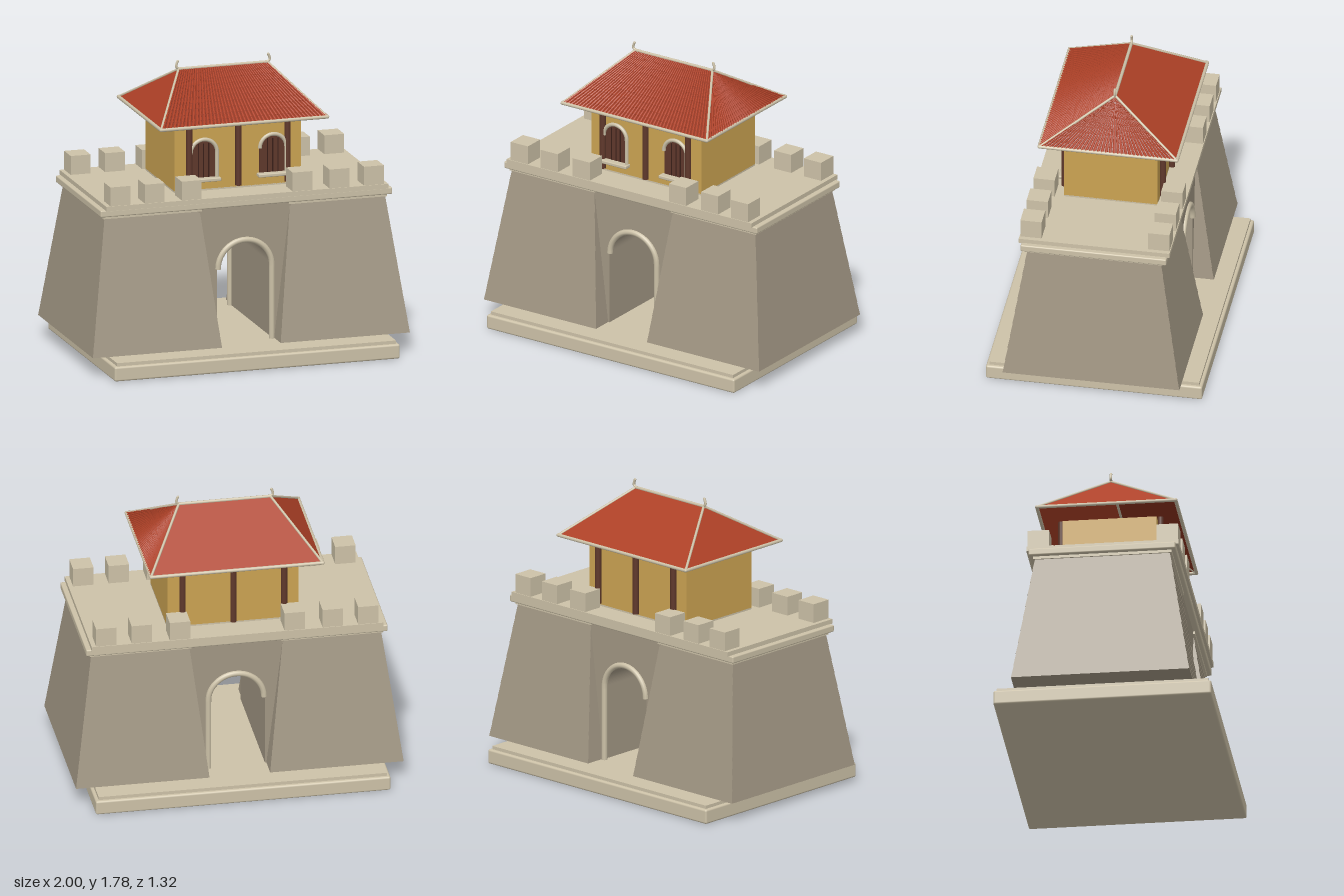
import * as THREE from 'three';
import { RoundedBoxGeometry } from 'three/addons/geometries/RoundedBoxGeometry.js';

const mat = (name, color, side = THREE.FrontSide) => {
  const m = new THREE.MeshStandardMaterial({ color, side });
  m.name = name;
  return m;
};

export function createModel() {
  const stone = mat('pale stone', 0xcdc2a8);
  const wall = mat('grey stone wall', 0xa29784);
  const ochre = mat('ochre plaster', 0xcba352);
  const wood = mat('dark wood', 0x5f382b);
  const gapWood = mat('shutter gap', 0x3d211a);
  const red = mat('red roof', 0xad4026, THREE.DoubleSide);
  const redDark = mat('tile valley', 0x8a311d, THREE.DoubleSide);

  const root = new THREE.Group();
  root.name = 'gatehouse';
  const add = (name, geo, material, x = 0, y = 0, z = 0, parent = root) => {
    const m = new THREE.Mesh(geo, material);
    m.name = name;
    m.position.set(x, y, z);
    parent.add(m);
    return m;
  };
  // box from min and max corners
  const box = (name, material, x0, x1, y0, y1, z0, z1, round = 0) => {
    const s = [x1 - x0, y1 - y0, z1 - z0];
    const geo = round ? new RoundedBoxGeometry(...s, 2, round) : new THREE.BoxGeometry(...s);
    return add(name, geo, material, (x0 + x1) / 2, (y0 + y1) / 2, (z0 + z1) / 2);
  };
  const lerp = THREE.MathUtils.lerp;
  const V = (x, y, z) => new THREE.Vector3(x, y, z);

  // plinth
  box('plinth', stone, -0.9, 0.9, 0, 0.09, -0.66, 0.66, 0.012);
  box('plinthStep', stone, -0.88, 0.88, 0.085, 0.11, -0.64, 0.64);

  // battered towers built from stone courses with a tiny ledge on front and back
  const Y0 = 0.125, Y1 = 0.955, COURSES = 10;
  const towerAt = t => ({ inner: lerp(0.185, 0.285, t), outer: lerp(1, 0.885, t), z: lerp(0.54, 0.41, t) });
  for (const side of [1, -1]) {
    const tower = new THREE.Group();
    tower.name = side > 0 ? 'leftTower' : 'rightTower';
    root.add(tower);
    for (let i = 0; i < COURSES; i++) {
      const geo = new THREE.BoxGeometry(1, 1, 1);
      const p = geo.attributes.position;
      for (let k = 0; k < p.count; k++) {
        const top = p.getY(k) > 0;
        const t = (i + (top ? 1 : 0)) / COURSES;
        const c = towerAt(t);
        const far = p.getX(k) * side > 0;
        p.setXYZ(k, side * (far ? c.outer : c.inner), lerp(Y0, Y1, t),
          Math.sign(p.getZ(k)) * (c.z - (top ? 0.003 : 0)));
      }
      geo.computeVertexNormals();
      add('stoneCourse', geo, wall, 0, 0, 0, tower);
    }
    box('towerCapMoulding', stone, side > 0 ? 0.275 : -0.895, side > 0 ? 0.895 : -0.275, 0.95, 0.968, -0.42, 0.42);
  }

  // recessed gate wall with arched passage
  const R = 0.176, SPRING = 0.58;
  const shape = new THREE.Shape();
  shape.moveTo(0.19, Y0);
  shape.lineTo(0.295, 0.97);
  shape.lineTo(-0.295, 0.97);
  shape.lineTo(-0.19, Y0);
  shape.lineTo(-R, Y0);
  shape.lineTo(-R, SPRING);
  shape.absarc(0, SPRING, R, Math.PI, 0, true);
  shape.lineTo(R, Y0);
  add('gateWall', new THREE.ExtrudeGeometry(shape, { depth: 0.82, bevelEnabled: false, curveSegments: 32 }),
    wall, 0, 0, -0.41);

  // arch moulding: a full leg on +x, ending at the spring line on -x
  const archTrim = (name, cx, spring, foot, r, tube, z) => {
    const path = new THREE.CurvePath();
    path.add(new THREE.LineCurve3(V(r, foot, 0), V(r, spring, 0)));
    const pts = [];
    for (let i = 0; i <= 16; i++) {
      const a = Math.PI * i / 16;
      pts.push(V(r * Math.cos(a), spring + r * Math.sin(a), 0));
    }
    path.add(new THREE.CatmullRomCurve3(pts));
    add(name, new THREE.TubeGeometry(path, 60, tube, 8), stone, cx, 0, z);
    for (const [x, y, turn] of [[r, foot, 1], [-r, spring, 1]]) {
      add(name + 'End', new THREE.CircleGeometry(tube, 8), stone, cx + x, y, z).rotation.x = turn * Math.PI / 2;
    }
  };
  archTrim('gateArchFront', 0, SPRING, Y0, 0.17, 0.018, 0.412);
  archTrim('gateArchBack', 0, SPRING, Y0, 0.17, 0.018, -0.412);

  // cornice and terrace
  box('corniceBand', stone, -0.92, 0.92, 0.967, 1.01, -0.445, 0.445, 0.008);
  box('terrace', stone, -0.89, 0.89, 1.008, 1.037, -0.46, 0.46);

  // battlements
  for (const x of [0.8, 0.583, 0.35])
    for (const sx of [1, -1])
      for (const sz of [1, -1])
        add('merlon', new THREE.BoxGeometry(0.125, 0.118, 0.13), stone, sx * x, 1.095, sz * 0.39);

  // pavilion
  box('pavilionFloor', stone, -0.4, 0.4, 1.036, 1.047, -0.3, 0.27);
  box('pavilionWalls', ochre, -0.4, 0.4, 1.045, 1.425, -0.3, 0.27);
  for (const x of [-0.31, 0, 0.31])
    for (const z of [0.283, -0.318])
      add('column', new THREE.CylinderGeometry(0.019, 0.019, 0.4, 16), wood, x, 1.257, z);

  // arched shuttered windows
  for (const x of [-0.218, 0.218]) {
    const w = new THREE.Shape();
    w.moveTo(-0.083, 1.12);
    w.lineTo(0.083, 1.12);
    w.lineTo(0.083, 1.275);
    w.absarc(0, 1.275, 0.083, 0, Math.PI, false);
    add('shutter', new THREE.ExtrudeGeometry(w, { depth: 0.008, bevelEnabled: false, curveSegments: 20 }),
      wood, x, 0, 0.27);
    for (const dx of [-0.032, 0, 0.032])
      add('shutterGap', new THREE.BoxGeometry(0.006, 0.21, 0.004), gapWood, x + dx, 1.227, 0.279);
    archTrim('windowArch', x, 1.275, 1.12, 0.083, 0.012, 0.285);
    box('windowSill', stone, x - 0.1, x + 0.1, 1.1, 1.122, 0.27, 0.32, 0.006);
  }

  // hipped roof corners
  const EY = 1.468, ZF = 0.4, ZB = -0.44, RZ = -0.02;
  const fl = V(-0.525, EY, ZF), fr = V(0.525, EY, ZF), bl = V(-0.525, EY, ZB), br = V(0.525, EY, ZB);
  const rl = V(-0.28, 1.725, RZ), rr = V(0.28, 1.725, RZ);
  const fromQuads = quads => {
    const a = [];
    for (const [p, q, r, s] of quads) for (const v of [p, q, r, p, r, s]) a.push(v.x, v.y, v.z);
    const g = new THREE.BufferGeometry();
    g.setAttribute('position', new THREE.Float32BufferAttribute(a, 3));
    g.computeVertexNormals();
    return g;
  };
  const tri = (a, b, c) => {
    const g = new THREE.BufferGeometry().setFromPoints([a, b, c]);
    g.computeVertexNormals();
    return g;
  };
  add('roofFront', fromQuads([[fl, fr, rr, rl]]), redDark);
  add('roofBack', fromQuads([[br, bl, rl, rr]]), red);
  add('roofLeft', tri(fr, br, rr), redDark);
  add('roofRight', tri(bl, fl, rl), red);

  // rows of overlapping half-round tiles fanning from ridge to eave
  const tiles = (name, e0, e1, r0, r1, count) => {
    const along = e1.clone().sub(e0), step = along.length() / count;
    const topStep = r0.distanceTo(r1) / count;
    along.normalize();
    const up = along.clone().cross(r0.clone().sub(e0)).normalize();
    const quads = [], ROWS = 10, SEG = 4;
    for (let j = 0; j < count; j++) {
      const f = (j + 0.5) / count;
      const a = e0.clone().lerp(e1, f), b = r0.clone().lerp(r1, f);
      const point = (t, k, scale) => {
        const r = lerp(step, topStep, t) * 0.42 * scale, ang = Math.PI * k / SEG;
        return a.clone().lerp(b, t).addScaledVector(along, r * Math.cos(ang)).addScaledVector(up, r * Math.sin(ang));
      };
      for (let i = 0; i < ROWS; i++)
        for (let k = 0; k < SEG; k++) {
          const t0 = i / ROWS, t1 = (i + 1) / ROWS;
          quads.push([point(t0, k + 1, 1), point(t0, k, 1), point(t1, k, 0.75), point(t1, k + 1, 0.75)]);
        }
    }
    add(name, fromQuads(quads), red);
  };
  tiles('frontTiles', fl, fr, rl, rr, 44);
  tiles('leftTiles', fr, br, rr, rr, 34);

  // eave, hip and ridge trims
  const bar = (name, a, b, r) => add(name, new THREE.TubeGeometry(new THREE.LineCurve3(a, b), 1, r, 8), stone);
  const corners = [fl, fr, br, bl];
  corners.forEach((c, i) => {
    bar('eaveTrim', c, corners[(i + 1) % 4], 0.011);
    bar('hipTrim', c, c.x > 0 ? rr : rl, 0.008);
    add('eaveCorner', new THREE.SphereGeometry(0.011, 8, 6), stone, c.x, c.y, c.z);
  });
  bar('ridgeTrim', rl, rr, 0.01);

  // curved ridge finials
  for (const s of [1, -1]) {
    const curve = new THREE.CatmullRomCurve3([
      V(s * 0.275, 1.725, RZ), V(s * 0.294, 1.738, RZ), V(s * 0.293, 1.755, RZ), V(s * 0.285, 1.775, RZ)]);
    add('finial', new THREE.TubeGeometry(curve, 12, 0.008, 8), stone);
    add('finialTip', new THREE.SphereGeometry(0.008, 8, 6), stone, s * 0.285, 1.773, RZ);
  }
  return root;
}
